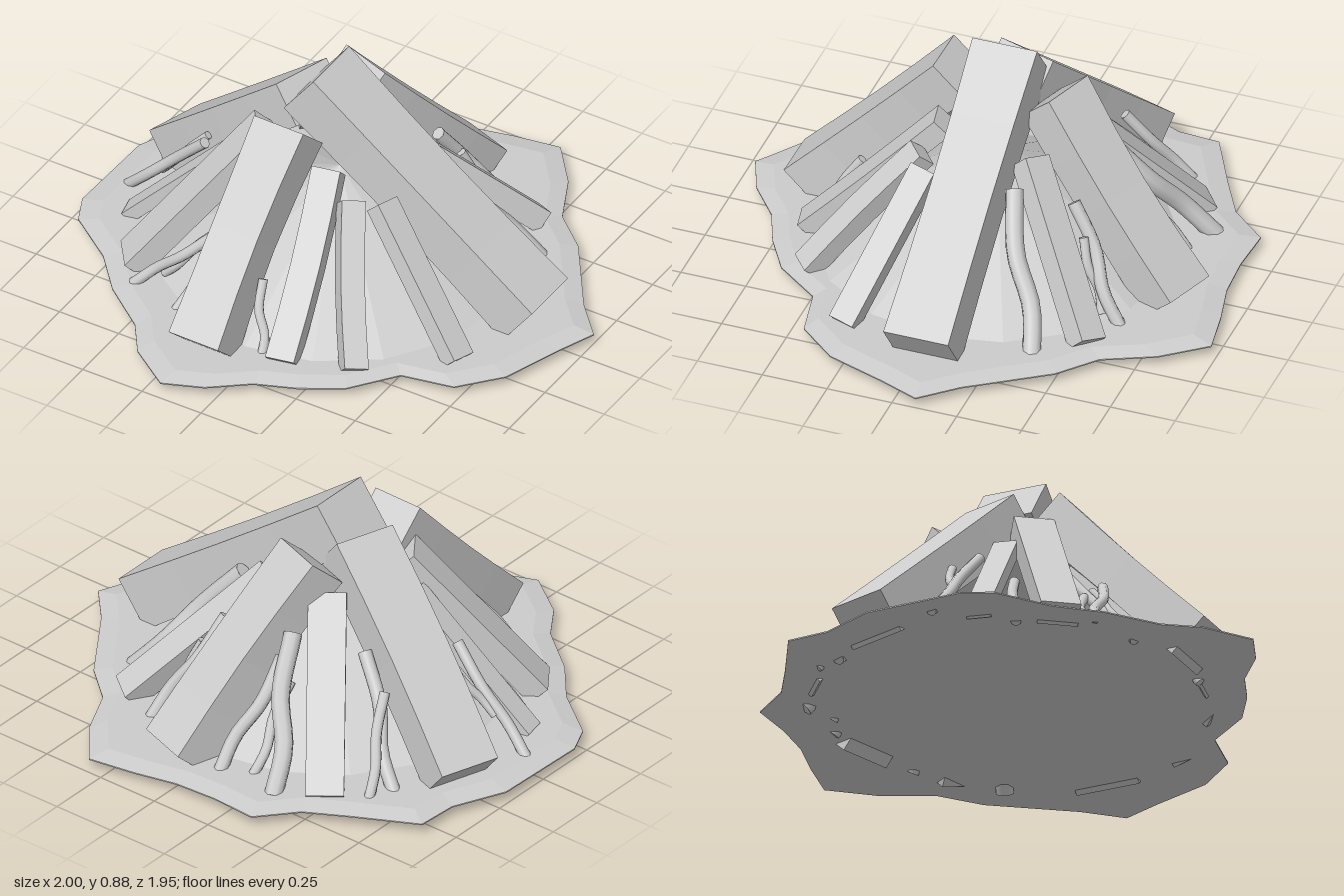
import * as THREE from 'three';
import { mergeGeometries } from 'three/addons/utils/BufferGeometryUtils.js';

const flat = new THREE.MeshStandardMaterial({ color: 0xcccccc, flatShading: true });
const smooth = new THREE.MeshStandardMaterial({ color: 0xcccccc });
const V = (a) => new THREE.Vector3(...a);

function add(group, name, geometry, material) {
  const mesh = new THREE.Mesh(geometry, material);
  mesh.name = name;
  group.add(mesh);
  return mesh;
}

// Leaning timber from foot to head; its wide face looks up and outward.
function timber(foot, head, width, thick, bend = 0, pinch = 0, roll = 0) {
  const a = V(foot), b = V(head);
  const axis = b.clone().sub(a);
  const length = axis.length();
  axis.normalize();
  const side = new THREE.Vector3().crossVectors(axis, new THREE.Vector3(0, 1, 0)).normalize();
  const out = new THREE.Vector3().crossVectors(side, axis);
  const g = new THREE.BoxGeometry(width, length, thick, 1, 4, 1);
  const p = g.attributes.position;
  for (let i = 0; i < p.count; i++) {
    const t = p.getY(i) / length + 0.5;
    const arch = Math.sin(t * Math.PI);
    const s = 1 - pinch * arch;
    p.setXYZ(i, p.getX(i) * s + bend * arch, p.getY(i), p.getZ(i) * s);
  }
  g.rotateY(roll);
  g.applyMatrix4(new THREE.Matrix4().makeBasis(side, axis, out));
  const mid = a.add(b).multiplyScalar(0.5);
  return g.translate(mid.x, mid.y, mid.z);
}

// Crooked round stick with closed ends.
function stick(foot, head, radius, sway) {
  const a = V(foot), b = V(head);
  const side = b.clone().sub(a).cross(new THREE.Vector3(0, 1, 0)).normalize();
  const points = [0, 0.3, 0.62, 1].map((t, i) =>
    a.clone().lerp(b, t).addScaledVector(side, [0, 1, -1, 0][i] * sway));
  const curve = new THREE.CatmullRomCurve3(points);
  const parts = [new THREE.TubeGeometry(curve, 12, radius, 8, false)];
  for (const t of [0, 1]) {
    const cap = new THREE.CircleGeometry(radius, 8);
    const dir = curve.getTangent(t).multiplyScalar(t ? 1 : -1);
    cap.applyQuaternion(new THREE.Quaternion().setFromUnitVectors(new THREE.Vector3(0, 0, 1), dir));
    const c = curve.getPoint(t);
    parts.push(cap.translate(c.x, c.y, c.z));
  }
  return mergeGeometries(parts);
}

// Ragged thin ground patch: flat underside, bevelled rim, flat top.
function groundPatch() {
  const rim = [
    [0.32, -0.98], [0.45, -0.82], [0.54, -0.63], [0.68, -0.51], [0.88, -0.22], [1, -0.09],
    [0.94, 0.06], [0.86, 0.29], [0.73, 0.44], [0.53, 0.48], [0.4, 0.65], [0.25, 0.74],
    [0.1, 0.8], [-0.04, 0.91], [-0.19, 0.97], [-0.36, 0.85], [-0.45, 0.72], [-0.63, 0.58],
    [-0.76, 0.43], [-0.95, 0.29], [-1, 0.18], [-0.99, -0.2], [-0.9, -0.4], [-0.89, -0.56],
    [-0.66, -0.68], [-0.5, -0.77], [-0.38, -0.91], [-0.2, -0.9], [-0.03, -0.91], [0.14, -0.95],
  ];
  const rings = [[0, 0.05], [1, 0.05], [1, 0.055], [0.92, 0.07], [0, 0.07]];
  const n = rim.length, positions = [], index = [];
  for (const [s, y] of rings) for (const [x, z] of rim) positions.push(x * s, y, z * s);
  for (let r = 0; r < rings.length - 1; r++) {
    for (let i = 0; i < n; i++) {
      const j = (i + 1) % n, a = r * n + i, b = r * n + j, c = a + n, d = b + n;
      if (r > 0) index.push(a, c, b);
      if (r === 0) index.push(a, c, d);
      else if (r < rings.length - 2) index.push(b, c, d);
    }
  }
  const g = new THREE.BufferGeometry();
  g.setAttribute('position', new THREE.Float32BufferAttribute(positions, 3));
  g.setIndex(index);
  g.computeVertexNormals();
  return g;
}

export function createModel() {
  const model = new THREE.Group();
  model.name = 'unlitCampfire';

  add(model, 'groundPatch', groundPatch(), flat);

  // Low heap of tinder inside the timbers
  const heap = add(model, 'tinderHeap', new THREE.ConeGeometry(0.67, 0.4, 16, 1, true), flat);
  heap.position.set(-0.03, 0.265, -0.02);

  // Four large logs: foot, head, width, thickness, bend, pinch, roll
  const logs = [
    [[0.785, 0.12, -0.035], [-0.14, 0.81, -0.035], 0.25, 0.21, 0, 0.06],
    [[-0.15, 0.09, 0.74], [-0.14, 0.7, 0.16], 0.21, 0.18, -0.01, 0.08],
    [[0.09, 0.07, -0.76], [-0.1, 0.7, -0.22], 0.22, 0.17, -0.015, 0.05],
    [[-0.84, 0.1, -0.27], [-0.17, 0.72, -0.05], 0.24, 0.17, 0.01, 0],
  ];
  for (const l of logs) add(model, 'largeLog', timber(...l), flat);

  // Split planks filling the gaps
  const planks = [
    [[-0.51, 0.06, -0.65], [-0.19, 0.6, -0.24], 0.14, 0.06],
    [[0.48, 0.07, -0.56], [0.1, 0.54, -0.2], 0.11, 0.09, 0, 0, 0.35],
    [[-0.65, 0.07, 0.41], [-0.26, 0.63, 0.12], 0.15, 0.09],
    [[-0.81, 0.06, 0.16], [-0.35, 0.53, 0.06], 0.09, 0.05],
    [[0.13, 0.07, 0.65], [0.03, 0.58, 0.16], 0.11, 0.08, 0.01],
    [[0.38, 0.07, 0.56], [0.15, 0.51, 0.2], 0.09, 0.08, -0.01, 0, 0.25],
    [[0.67, 0.07, 0.31], [0.25, 0.51, 0.15], 0.1, 0.07, 0, 0, 0.2],
  ];
  for (const p of planks) add(model, 'plank', timber(...p), flat);

  // Kindling: foot, head, radius, sway
  const sticks = [
    [[-0.91, 0.05, 0.02], [-0.56, 0.4, 0.05], 0.021, 0.008],
    [[-0.76, 0.18, 0.02], [-0.6, 0.36, -0.04], 0.016, 0.006],
    [[-0.7, 0.05, 0.26], [-0.52, 0.3, 0.17], 0.02, 0.01],
    [[-0.58, 0.06, 0.52], [-0.3, 0.32, 0.42], 0.02, -0.012],
    [[-0.5, 0.08, 0.43], [-0.33, 0.28, 0.36], 0.018, 0.012],
    [[-0.37, 0.05, 0.58], [-0.27, 0.4, 0.27], 0.019, 0.012],
    [[-0.33, 0.16, 0.5], [-0.29, 0.32, 0.37], 0.015, -0.008],
    [[0.04, 0.04, 0.65], [-0.04, 0.28, 0.5], 0.018, 0.012],
    [[-0.35, 0.05, -0.75], [-0.16, 0.5, -0.4], 0.035, 0.018],
    [[-0.21, 0.05, -0.7], [-0.2, 0.34, -0.46], 0.019, 0.012],
    [[-0.1, 0.05, -0.75], [-0.15, 0.42, -0.45], 0.026, -0.016],
    [[0.6, 0.04, -0.39], [0.24, 0.5, -0.19], 0.035, 0.018],
    [[0.32, 0.05, -0.63], [0.16, 0.44, -0.39], 0.025, -0.015],
    [[0.3, 0.08, -0.55], [0.22, 0.34, -0.45], 0.018, 0.01],
    [[-0.64, 0.05, -0.56], [-0.53, 0.36, -0.33], 0.02, 0.008],
    [[-0.68, 0.05, -0.46], [-0.38, 0.44, -0.26], 0.026, -0.014],
  ];
  for (const s of sticks) add(model, 'kindlingStick', stick(...s), smooth);

  return model;
}
